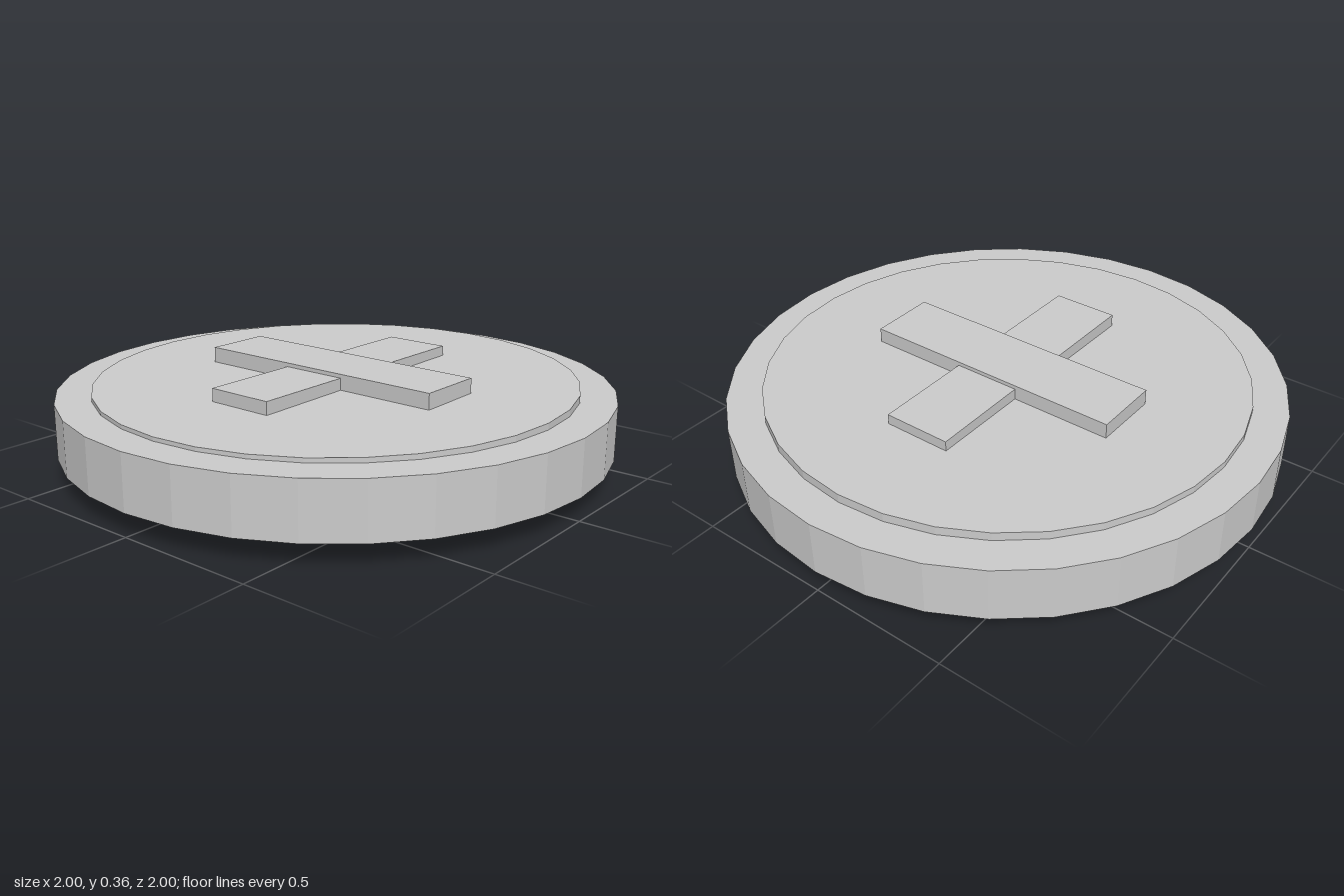
import * as THREE from 'three';

const MID_Y = 0.178;

export function createModel() {
  const group = new THREE.Group();
  const material = new THREE.MeshStandardMaterial({ color: 0xcccccc, flatShading: true });

  const add = (name, geometry) => {
    const mesh = new THREE.Mesh(geometry, material);
    mesh.name = name;
    mesh.position.y = MID_Y;
    group.add(mesh);
    return mesh;
  };

  // Thick outer rim disc
  add('rim', new THREE.CylinderGeometry(1, 1, 0.198, 32));

  // Thicker inner disc, showing on both faces and leaning slightly to the front
  add('face', new THREE.CylinderGeometry(0.873, 0.873, 0.244, 32)).rotation.x = 0.01;

  // Raised cross: two bars passing right through the disc
  add('crossBarWide', new THREE.BoxGeometry(1, 0.356, 0.25));
  add('crossBarDeep', new THREE.BoxGeometry(0.25, 0.328, 1));

  return group;
}
